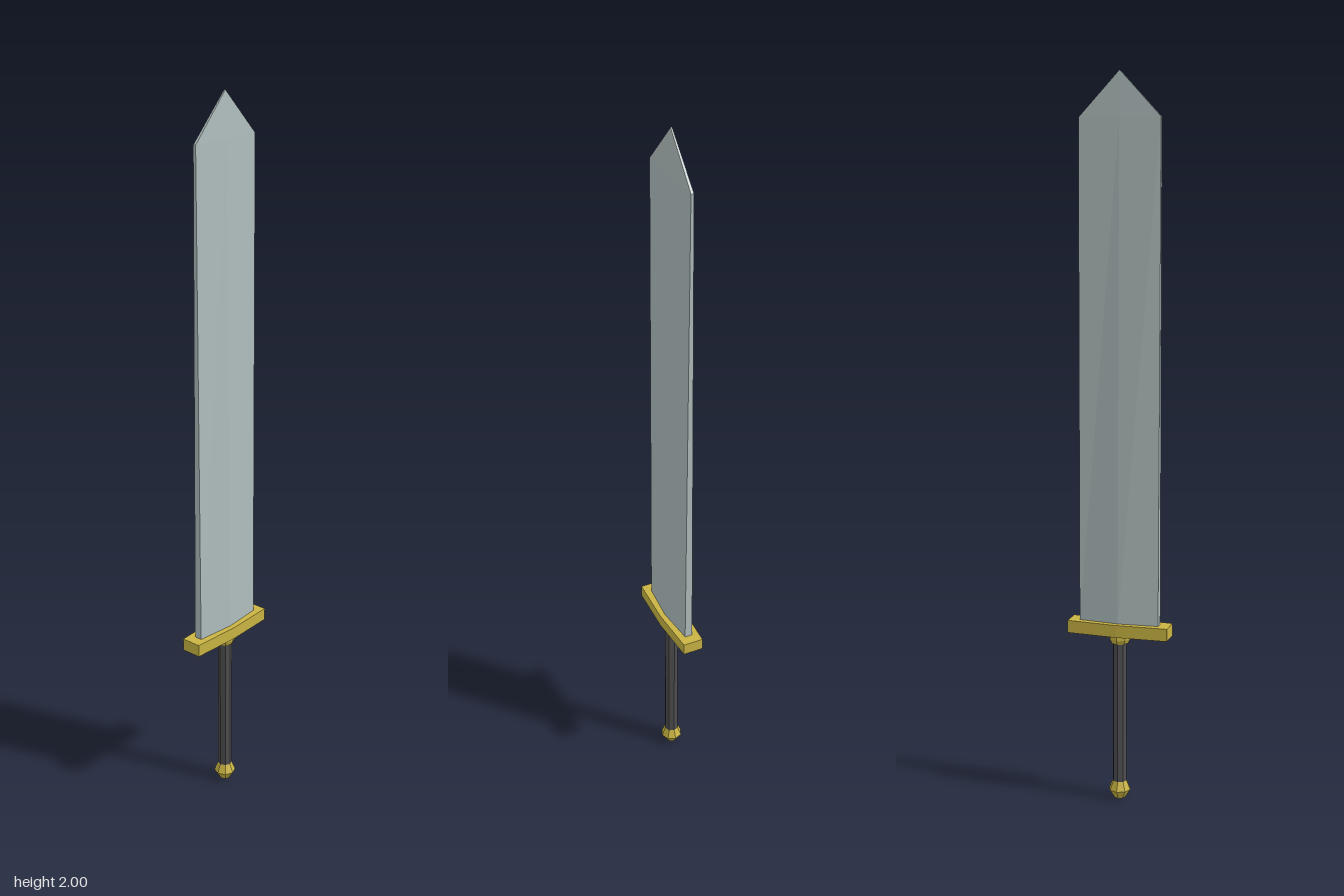
import * as THREE from 'three';

const mat = (name, color) => {
  const m = new THREE.MeshStandardMaterial({ color, flatShading: true });
  m.name = name;
  return m;
};

// Lofts six-sided sections: [y, half width, half depth at the ridge, half depth at the edges]
function loftHex(rows) {
  const rings = rows.map(([y, w, c, e]) => [
    [w, y, e], [w, y, -e], [0, y, -c], [-w, y, -e], [-w, y, e], [0, y, c],
  ].map((p) => new THREE.Vector3(...p)));
  const pos = [];
  const tri = (a, b, c) => {
    if (new THREE.Triangle(a, b, c).getArea() < 1e-9) return;
    for (const v of [a, b, c]) pos.push(v.x, v.y, v.z);
  };
  for (let r = 0; r < rings.length - 1; r++) {
    for (let i = 0; i < 6; i++) {
      const j = (i + 1) % 6, lo = rings[r], hi = rings[r + 1];
      tri(lo[i], lo[j], hi[j]);
      tri(lo[i], hi[j], hi[i]);
    }
  }
  // end caps
  const bottom = rings[0], top = rings[rings.length - 1];
  for (let i = 1; i < 5; i++) {
    tri(bottom[0], bottom[i + 1], bottom[i]);
    tri(top[0], top[i], top[i + 1]);
  }
  const g = new THREE.BufferGeometry();
  g.setAttribute('position', new THREE.Float32BufferAttribute(pos, 3));
  g.computeVertexNormals();
  return g;
}

const lathe = (points, sides) =>
  new THREE.LatheGeometry(points.map((p) => new THREE.Vector2(...p)), sides);

export function createModel() {
  const steel = mat('steel', 0xb0bebd);
  const brass = mat('brass', 0xc9b443);
  const leather = mat('leather', 0x4e4e50);
  const group = new THREE.Group();
  group.name = 'sword';
  const add = (name, geometry, material) => {
    const mesh = new THREE.Mesh(geometry, material);
    mesh.name = name;
    group.add(mesh);
  };

  // broad blade, thinning toward a pointed tip
  add('blade', loftHex([
    [0.51, 0.113, 0.021, 0.011],
    [1.88, 0.113, 0.006, 0.004],
    [2.0, 0, 0.002, 0.002],
  ]), steel);

  // crossguard with a slight ridge at its middle
  add('guard', loftHex([
    [0.48, 0.143, 0.036, 0.029],
    [0.515, 0.143, 0.036, 0.029],
  ]), brass);

  // collar under the guard
  add('collar', lathe([[0, 0.456], [0.024, 0.456], [0.03, 0.468], [0.03, 0.485], [0, 0.485]], 8), brass);

  // grip
  const grip = new THREE.CylinderGeometry(0.02, 0.02, 0.42, 8);
  grip.translate(0, 0.255, 0);
  add('grip', grip, leather);

  // faceted pommel
  add('pommel', lathe([[0, 0], [0.015, 0.003], [0.031, 0.028], [0.02, 0.054], [0, 0.054]], 8), brass);

  return group;
}
